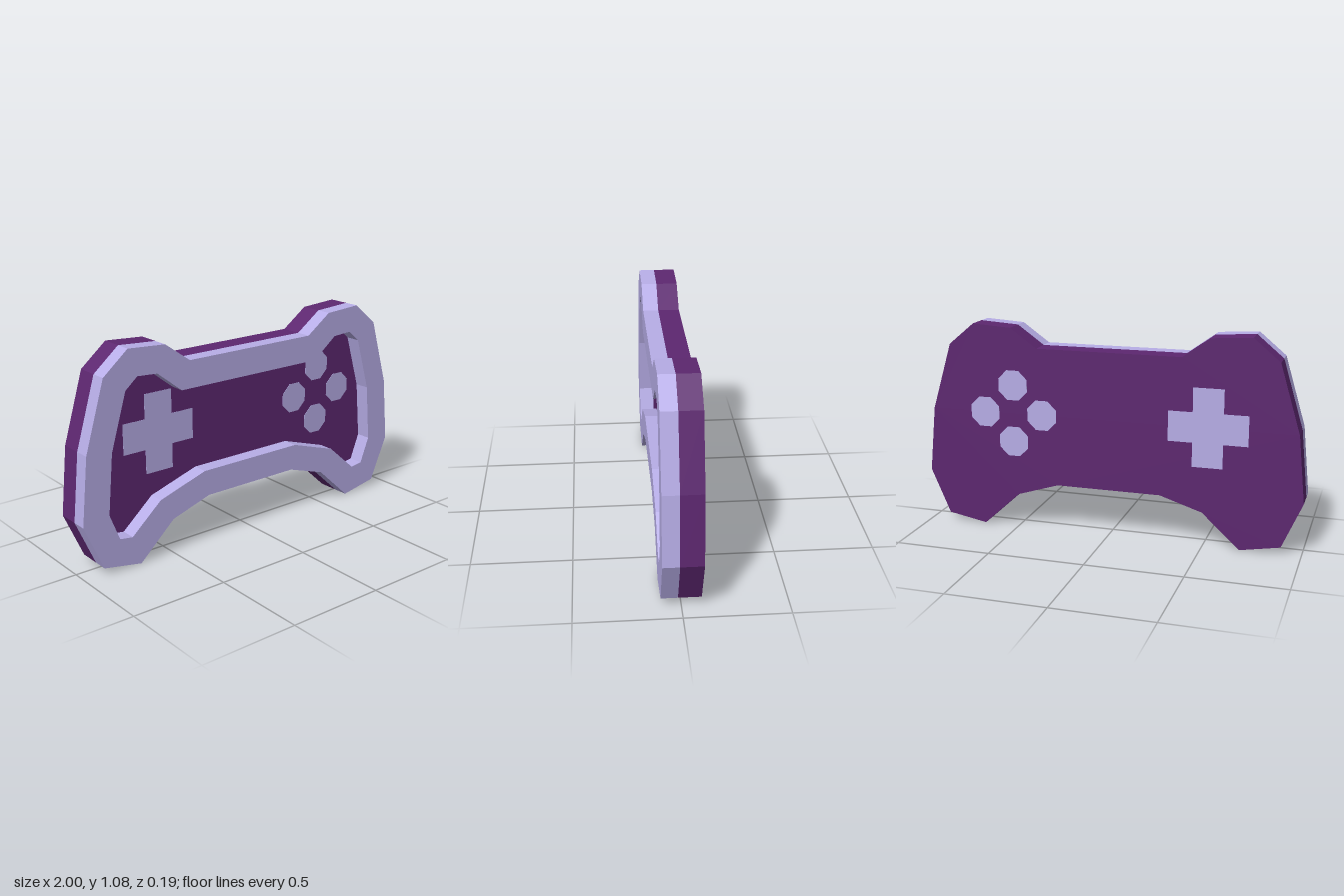
import * as THREE from 'three';

const BACK = -0.095, FLOOR = 0.015, FRONT = 0.095, RAISE = 0.001;

// Right half of each outline, from top centre round to bottom centre
const OUTER = [[0.38, 0.97], [0.52, 1.07], [0.725, 1.083], [0.86, 0.97], [0.965, 0.62],
  [1, 0.275], [0.897, 0.038], [0.69, 0], [0.495, 0.18], [0.275, 0.25]];
const INNER = [[0.43, 0.83], [0.568, 0.938], [0.678, 0.945], [0.745, 0.888], [0.83, 0.604],
  [0.858, 0.3], [0.805, 0.163], [0.735, 0.153], [0.568, 0.3], [0.3, 0.385]];

const toPoints = (pairs) => pairs.map(([x, y]) => new THREE.Vector2(x, y));

// Mirror a half outline across x = 0, running anticlockwise
const mirrored = (half) => toPoints([...half.map(([x, y]) => [-x, y]), ...[...half].reverse()]);

// Extrude a shape between two depths
function slab(name, shape, z0, z1, material) {
  const geometry = new THREE.ExtrudeGeometry(shape, { depth: z1 - z0, bevelEnabled: false });
  geometry.translate(0, 0, z0);
  const mesh = new THREE.Mesh(geometry, material);
  mesh.name = name;
  return mesh;
}

export function createModel() {
  const lavender = new THREE.MeshStandardMaterial({ color: 0xb8aee8 });
  lavender.name = 'lavender';
  const purple = new THREE.MeshStandardMaterial({ color: 0x5d2770 });
  purple.name = 'deep purple';

  const group = new THREE.Group();
  group.name = 'gameController';

  // Back body
  group.add(slab('body', new THREE.Shape(mirrored(OUTER)), BACK, FLOOR, purple));

  // Raised rim around the recessed face
  const rim = new THREE.Shape(mirrored(OUTER));
  rim.holes.push(new THREE.Path(mirrored(INNER).reverse()));
  group.add(slab('rim', rim, FLOOR, FRONT, lavender));

  // Direction pad, showing on both faces
  const L = 0.203, W = 0.078;
  const cross = toPoints([[W, L], [W, W], [L, W], [L, -W], [W, -W], [W, -L],
    [-W, -L], [-W, -W], [-L, -W], [-L, W], [-W, W], [-W, L]]);
  const pad = slab('directionPad', new THREE.Shape(cross), BACK - RAISE, FLOOR + RAISE, lavender);
  pad.position.set(-0.516, 0.62, 0);
  group.add(pad);

  // Four round buttons in a diamond, showing on both faces
  const buttons = new THREE.Group();
  buttons.name = 'buttons';
  buttons.position.set(0.514, 0.62, 0);
  const octagon = [];
  for (let i = 0; i < 8; i++) {
    const a = (i + 0.5) * Math.PI / 4;
    octagon.push(new THREE.Vector2(0.085 * Math.cos(a), 0.085 * Math.sin(a)));
  }
  ['rightButton', 'topButton', 'leftButton', 'bottomButton'].forEach((name, i) => {
    const a = i * Math.PI / 2;
    const button = slab(name, new THREE.Shape(octagon), BACK - RAISE, FLOOR + RAISE, lavender);
    button.position.set(0.157 * Math.cos(a), 0.15 * Math.sin(a), 0);
    buttons.add(button);
  });
  group.add(buttons);

  return group;
}
